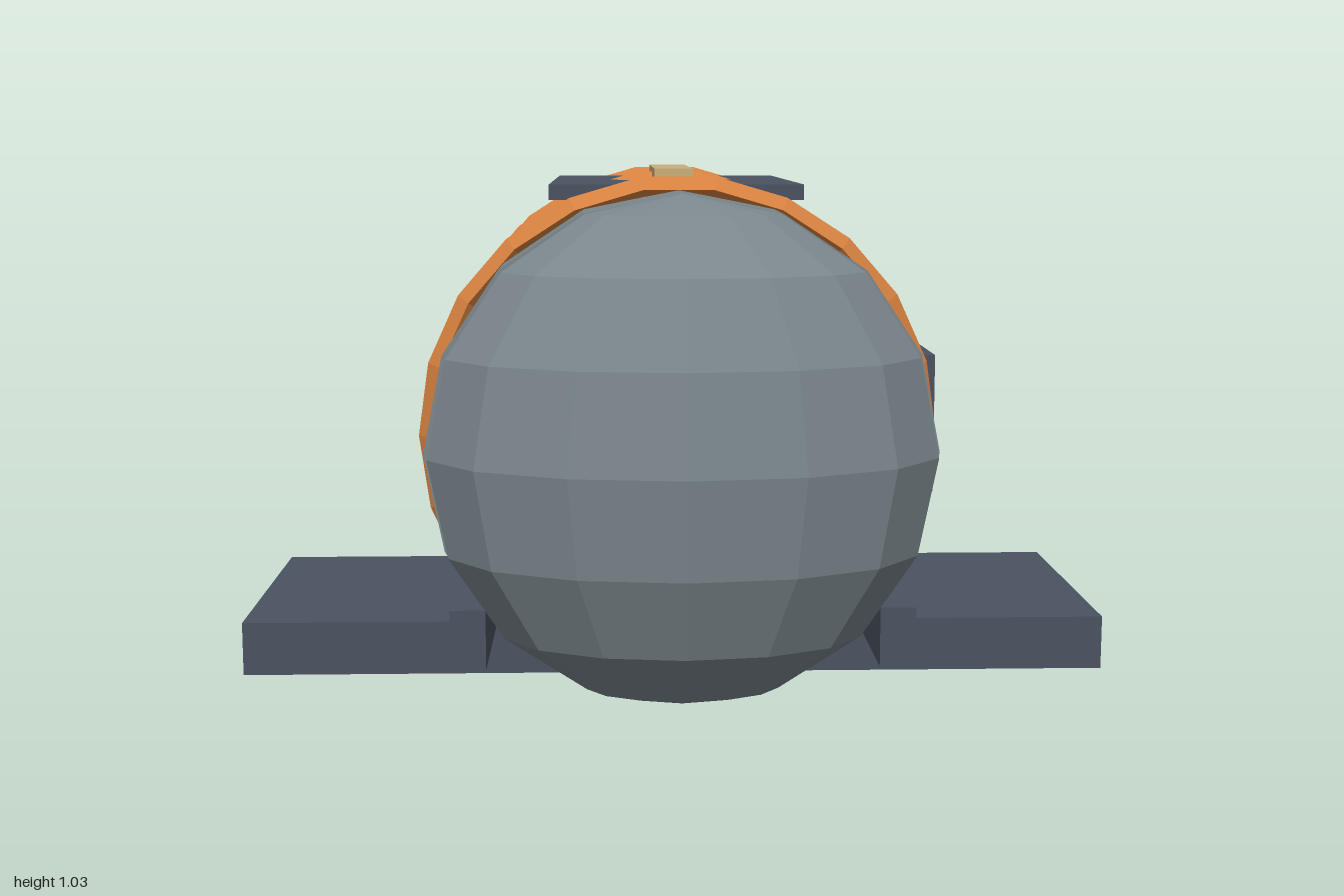
import * as THREE from 'three';

const flat = (name, color) => {
  const m = new THREE.MeshStandardMaterial({ color });
  m.name = name;
  m.flatShading = true;
  return m;
};

export function createModel() {
  const steel = flat('steel grey', 0x7b878d);
  const dark = flat('dark slate', 0x4a5361);
  const copper = flat('copper orange', 0xd5803f);
  const tan = flat('pale brass', 0xc9b07a);

  const model = new THREE.Group();
  model.name = 'tank';
  const add = (name, geometry, material, x, y, z) => {
    const mesh = new THREE.Mesh(geometry, material);
    mesh.name = name;
    mesh.position.set(x, y, z);
    model.add(mesh);
    return mesh;
  };
  const box = (name, material, w, h, d, x, y, z) =>
    add(name, new THREE.BoxGeometry(w, h, d), material, x, y, z);

  const axisY = 0.53;
  const radius = 0.47;

  // Horizontal tank barrel
  const barrel = new THREE.CylinderGeometry(radius, radius, 1.44, 16).rotateX(Math.PI / 2);
  add('barrel', barrel, steel, 0, axisY, 0);

  // Flattened domes, poles up, with a meridian on the tank axis
  for (const side of [1, -1]) {
    const dome = new THREE.SphereGeometry(radius, 14, 8)
      .rotateY(Math.PI / 2)
      .scale(1, 1, 0.28 / radius);
    add(side > 0 ? 'frontDome' : 'backDome', dome, steel, 0, axisY, side * 0.72);
  }

  // Diamond-section hoops
  for (const z of [-0.5, 0, 0.5]) {
    add('hoop', new THREE.TorusGeometry(0.475, 0.025, 4, 22), copper, 0, axisY, z);
  }

  // Side rails and cross base
  for (const side of [1, -1]) {
    box(side > 0 ? 'leftRail' : 'rightRail', dark, 0.065, 0.11, 1.56, side * 0.39, 0.2, 0);
  }
  box('base', dark, 1.78, 0.11, 0.61, 0, 0.055, 0);

  // Top hatch with grab bar, and side panel
  box('hatch', dark, 0.5, 0.03, 0.78, 0, 0.992, 0);
  box('grabBar', tan, 0.08, 0.03, 0.5, 0, 1.02, -0.013);
  box('sidePanel', dark, 0.03, 0.275, 0.78, 0.5, 0.532, 0);

  return model;
}
